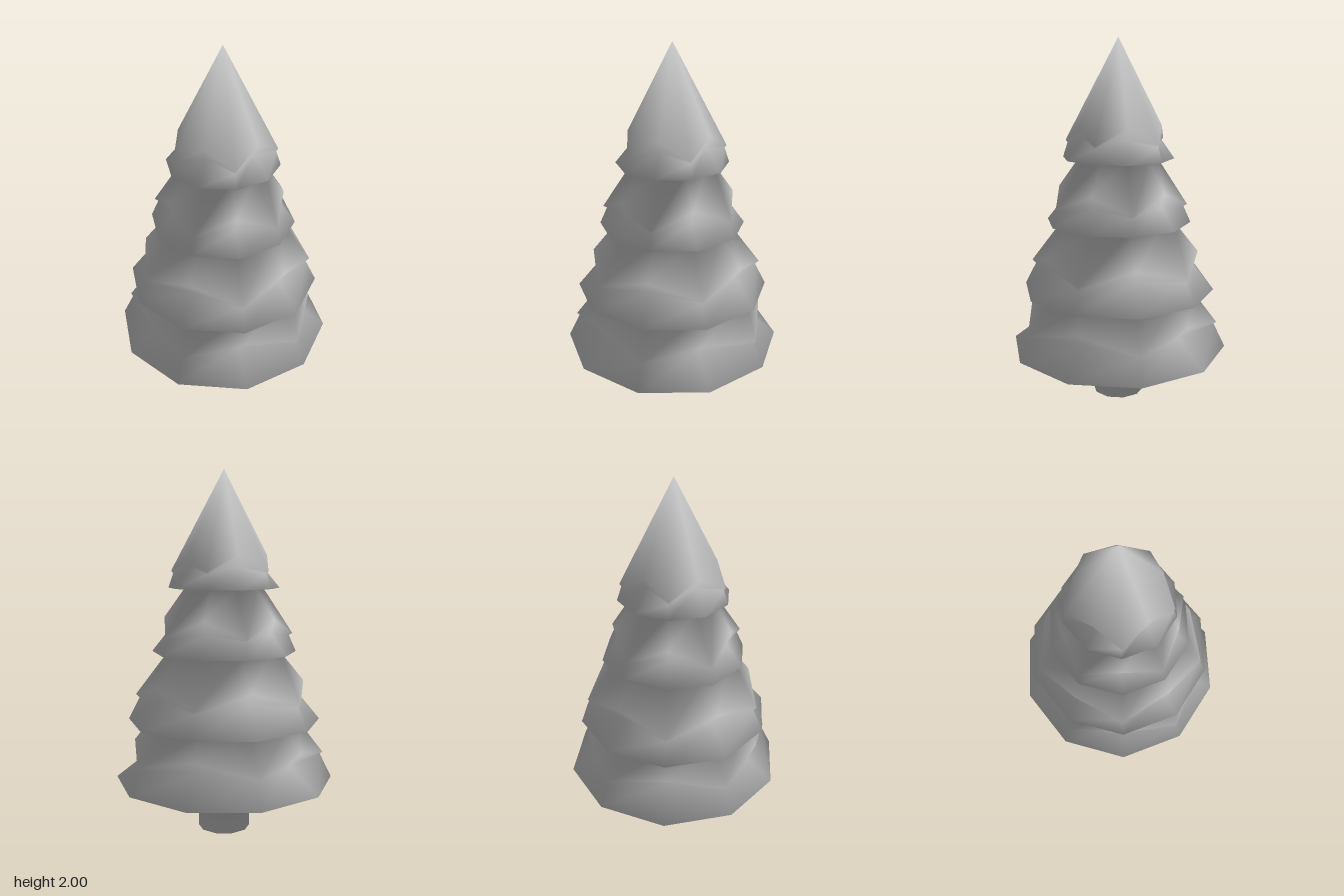
import * as THREE from 'three';

const SIDES = 10;
const APEX = [0, 2];
const TRUNK_RADIUS = 0.145;

// [radius, height] at each level; drooping and raised corners alternate around the hem
const TIERS = [
  { rim: [0.61, 0.287], tuckLow: [0.545, 0.42], tuckHigh: [0.43, 0.43], hemLow: [0.56, 0.43], hemHigh: [0.505, 0.505], top: [0.41, 0.625] },
  { rim: [0.537, 0.625], tuckLow: [0.475, 0.745], tuckHigh: [0.41, 0.78], hemLow: [0.495, 0.765], hemHigh: [0.445, 0.845], top: [0.31, 1.01] },
  { rim: [0.4, 1.01], tuckLow: [0.36, 1.1], tuckHigh: [0.305, 1.13], hemLow: [0.38, 1.11], hemHigh: [0.33, 1.2], top: [0.215, 1.362] },
  { rim: [0.306, 1.362], tuckLow: [0.28, 1.44], tuckHigh: [0.21, 1.48], hemLow: [0.29, 1.455], hemHigh: [0.235, 1.54], top: APEX },
];

// Ring of points; even and odd corners each take a [radius, height] pair
function ring(even, odd = even) {
  return Array.from({ length: SIDES }, (_, i) => {
    const [r, y] = i % 2 ? odd : even;
    const a = (i / SIDES) * Math.PI * 2;
    return new THREE.Vector3(Math.sin(a) * r, y, Math.cos(a) * r);
  });
}

// Triangles joining ring k to ring k + 1; the second half of a quad shrinks away at the apex
function band(k, pointed = false) {
  const index = [];
  for (let i = 0; i < SIDES; i++) {
    const a = k * SIDES + i;
    const b = k * SIDES + ((i + 1) % SIDES);
    index.push(a, b, b + SIDES);
    if (!pointed) index.push(a, b + SIDES, a + SIDES);
  }
  return index;
}

// Downward facing cap on the lowest ring
function bottomCap() {
  const index = [];
  for (let i = 1; i < SIDES - 1; i++) index.push(0, i + 1, i);
  return index;
}

// Smooth normals over the whole skin, each face weighted by its corner angle
function smoothNormals(points, index) {
  const normals = points.map(() => new THREE.Vector3());
  const triangle = new THREE.Triangle();
  const faceNormal = new THREE.Vector3();
  for (let t = 0; t < index.length; t += 3) {
    const corners = index.slice(t, t + 3);
    triangle.set(...corners.map((c) => points[c]));
    triangle.getNormal(faceNormal);
    corners.forEach((c, n) => {
      const toNext = points[corners[(n + 1) % 3]].clone().sub(points[c]);
      const toLast = points[corners[(n + 2) % 3]].clone().sub(points[c]);
      normals[c].addScaledVector(faceNormal, toNext.angleTo(toLast));
    });
  }
  // All points of the apex ring share an upright normal
  normals.slice(-SIDES).forEach((n) => n.set(0, 1, 0));
  return normals.map((n) => n.normalize());
}

export function createModel() {
  const tree = new THREE.Group();
  tree.name = 'pineTree';
  const smooth = new THREE.MeshStandardMaterial({ color: 0xcccccc });
  const flat = new THREE.MeshStandardMaterial({ color: 0xcccccc, flatShading: true });

  // Rings of the continuous skin, from the foot of the trunk to the apex
  const rings = [ring([TRUNK_RADIUS, 0]), ring([TRUNK_RADIUS, TIERS[0].rim[1]])];
  TIERS.forEach((t, n) => {
    // The droop turns by one corner from tier to tier
    const zigzag = (low, high) => (n % 2 ? ring(high, low) : ring(low, high));
    rings.push(ring(t.rim), zigzag(t.tuckLow, t.tuckHigh), zigzag(t.hemLow, t.hemHigh), ring(t.top));
  });

  // Faces of each part
  const parts = [{ name: 'trunk', index: [...bottomCap(), ...band(0)], material: smooth }];
  TIERS.forEach((t, n) => {
    const k = 1 + n * 4;
    parts.push(
      { name: `underside${n + 1}`, index: band(k), material: n ? smooth : flat },
      { name: `skirt${n + 1}`, index: band(k + 1), material: smooth },
      { name: `hem${n + 1}`, index: band(k + 2), material: smooth },
      { name: `upperBranches${n + 1}`, index: band(k + 3, t.top === APEX), material: smooth },
    );
  });

  // The parts share points and normals, so shading runs on from one to the next
  const points = rings.flat();
  const normals = smoothNormals(points, parts.flatMap((p) => p.index));
  const toAttribute = (list) => new THREE.Float32BufferAttribute(list.flatMap((v) => v.toArray()), 3);
  const position = toAttribute(points);
  const normal = toAttribute(normals);

  for (const { name, index, material } of parts) {
    const geometry = new THREE.BufferGeometry();
    geometry.setAttribute('position', position);
    geometry.setAttribute('normal', normal);
    geometry.setIndex(index);
    const mesh = new THREE.Mesh(geometry, material);
    mesh.name = name;
    tree.add(mesh);
  }
  return tree;
}
